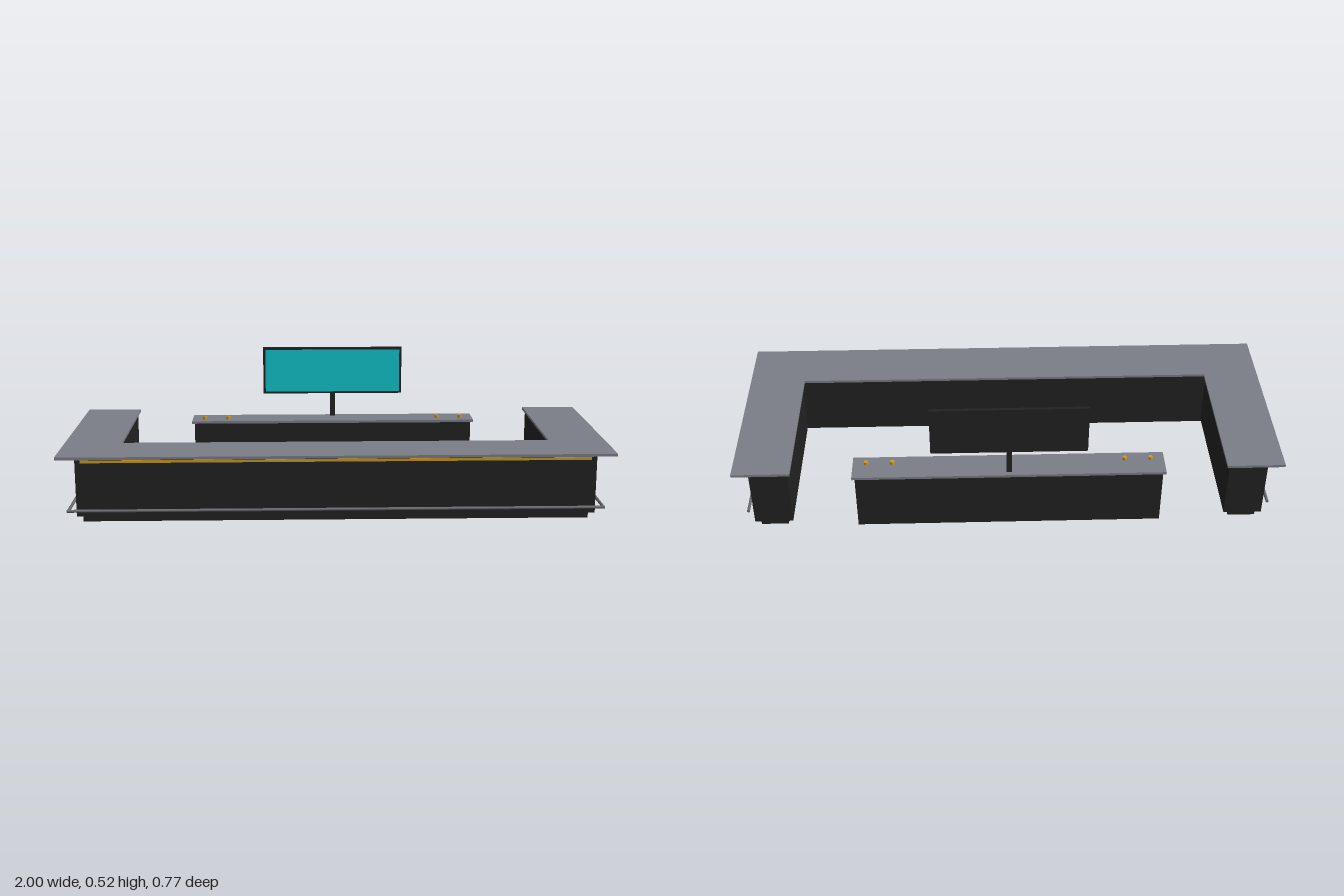
import * as THREE from 'three';

const material = (name, color) => {
  const m = new THREE.MeshStandardMaterial({ color });
  m.name = name;
  return m;
};

export function createModel() {
  const black = material('black panel', 0x222222);
  const stone = material('grey worktop', 0x7c7e87);
  const steel = material('steel rail', 0x67696e);
  const gold = material('gold', 0xcb9a22);
  const cyan = material('cyan screen', 0x10c6ce);

  const model = new THREE.Group();
  model.name = 'barCounter';

  const add = (parent, name, geometry, mat, x = 0, y = 0, z = 0) => {
    const mesh = new THREE.Mesh(geometry, mat);
    mesh.name = name;
    mesh.position.set(x, y, z);
    parent.add(mesh);
    return mesh;
  };

  // Box given by its half width, y range and z range, centred on x = 0
  const block = (parent, name, mat, hx, y0, y1, z0, z1) =>
    add(parent, name, new THREE.BoxGeometry(hx * 2, y1 - y0, z1 - z0), mat,
      0, (y0 + y1) / 2, (z0 + z1) / 2);

  // U-shaped slab, open towards the back
  const uSlab = (parent, name, mat, y0, y1, outX, inX, back, inZ, front) => {
    const shape = new THREE.Shape([
      [-outX, -front], [outX, -front], [outX, -back], [inX, -back],
      [inX, -inZ], [-inX, -inZ], [-inX, -back], [-outX, -back],
    ].map(([x, y]) => new THREE.Vector2(x, y)));
    const geometry = new THREE.ExtrudeGeometry(shape, { depth: y1 - y0, bevelEnabled: false });
    geometry.rotateX(-Math.PI / 2);
    add(parent, name, geometry, mat, 0, y0, 0);
  };

  // Main counter
  const counter = new THREE.Group();
  counter.name = 'counter';
  model.add(counter);
  uSlab(counter, 'plinth', black, 0, 0.025, 0.92, 0.82, -0.362, 0.21, 0.31);
  uSlab(counter, 'counterBody', black, 0.025, 0.25, 0.94, 0.8, -0.375, 0.19, 0.33);
  uSlab(counter, 'counterTop', stone, 0.25, 0.26, 1, 0.79, -0.387, 0.178, 0.387);
  block(counter, 'frontTrim', gold, 0.92, 0.224, 0.234, 0.328, 0.332);

  // Foot rail along the front and both sides
  const rail = new THREE.Group();
  rail.name = 'footRail';
  model.add(rail);
  const railY = 0.053, r = 0.0055, railZ = 0.356;
  const frontRail = add(rail, 'frontRail', new THREE.CylinderGeometry(r, r, 1.94, 12), steel, 0, railY, railZ);
  frontRail.rotation.z = Math.PI / 2;
  for (const side of [-1, 1]) {
    const sideRail = add(rail, 'sideRail', new THREE.CylinderGeometry(r, r, 0.706, 12), steel,
      side * 0.965, railY, 0.003);
    sideRail.rotation.x = Math.PI / 2;
  }

  // Back bar with small taps at both ends
  const backBar = new THREE.Group();
  backBar.name = 'backBar';
  model.add(backBar);
  block(backBar, 'backBarBody', black, 0.56, 0, 0.225, -0.375, -0.28);
  block(backBar, 'backBarTop', stone, 0.57, 0.225, 0.235, -0.385, -0.27);
  for (const x of [-0.52, -0.425, 0.425, 0.52]) {
    add(backBar, 'tap', new THREE.CylinderGeometry(0.008, 0.008, 0.012, 12), gold, x, 0.241, -0.308);
  }

  // Display on a post
  const display = new THREE.Group();
  display.name = 'display';
  model.add(display);
  block(display, 'post', black, 0.01, 0.235, 0.335, -0.368, -0.36);
  block(display, 'displayFrame', black, 0.282, 0.33, 0.52, -0.37, -0.358);
  block(display, 'screen', cyan, 0.273, 0.338, 0.511, -0.359, -0.357);

  return model;
}
